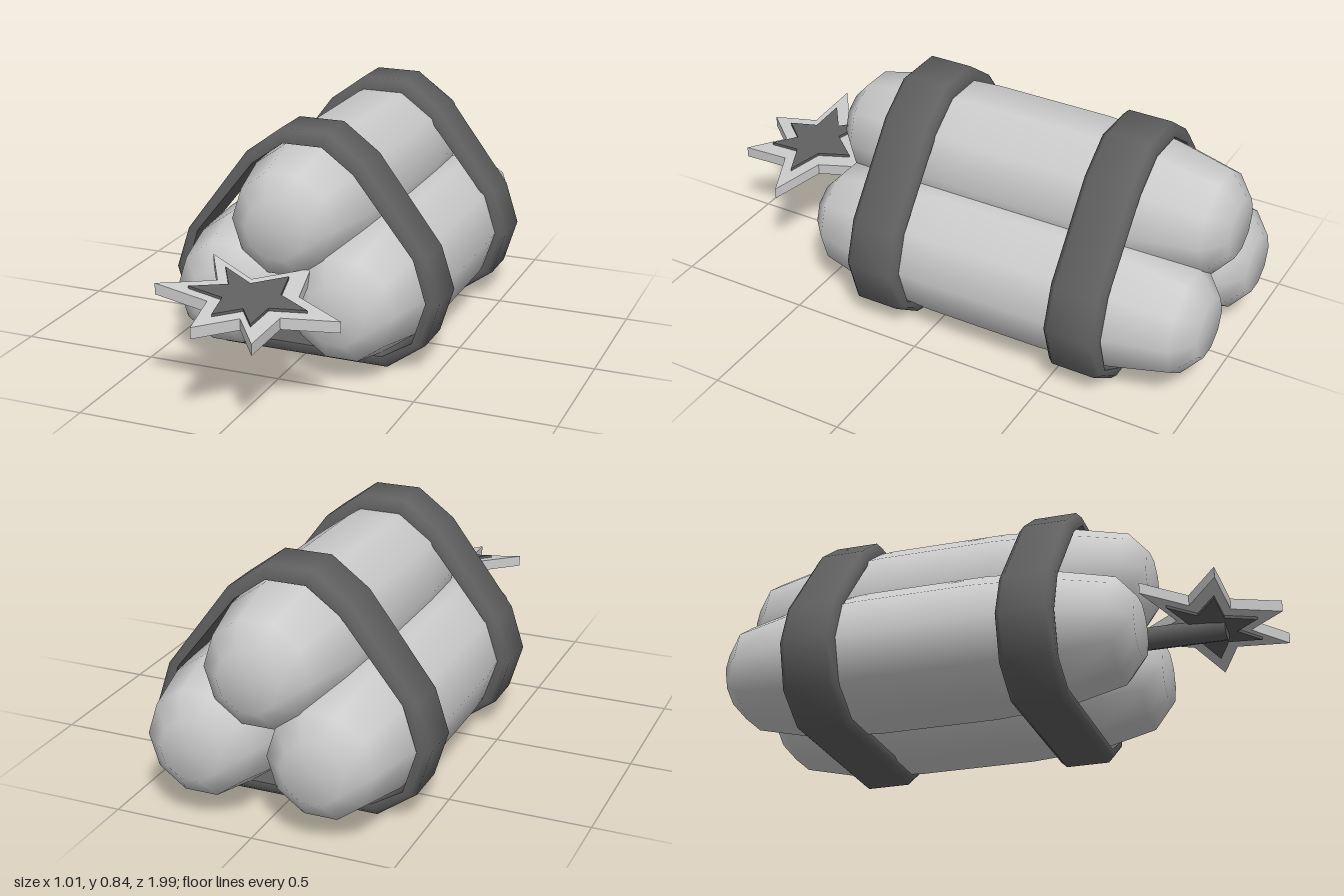
import * as THREE from 'three';
import { toCreasedNormals } from 'three/addons/utils/BufferGeometryUtils.js';

const light = new THREE.MeshStandardMaterial({ color: 0xcccccc });
const dark = new THREE.MeshStandardMaterial({ color: 0x606060 });

function add(group, name, geometry, material) {
  const mesh = new THREE.Mesh(geometry, material);
  mesh.name = name;
  group.add(mesh);
  return mesh;
}

// Ten-sided stick along z, slightly barrel-shaped with tapered ends
function stickGeometry() {
  const half = [[0, 0.76], [0.11, 0.76], [0.19, 0.69], [0.238, 0.48], [0.255, 0.22]];
  const top = half.map(([r, z]) => new THREE.Vector2(r, z));
  const bottom = half.map(([r, z]) => new THREE.Vector2(r, -z));
  const profile = [...bottom, ...top.reverse()];
  return new THREE.LatheGeometry(profile, 10, Math.PI / 2).rotateX(Math.PI / 2);
}

// Band that wraps the three sticks: a chamfered section swept round a mirrored outline
function strapGeometry() {
  const mirror = (pts) => [...pts, ...pts.map(([x, y]) => [-x, y]).reverse()];
  const outer = mirror([[0.085, 0.84], [0.22, 0.74], [0.456, 0.425], [0.506, 0.27], [0.456, 0.105], [0.315, 0.003]]);
  const inner = mirror([[0.073, 0.79], [0.19, 0.705], [0.412, 0.425], [0.46, 0.27], [0.412, 0.115], [0.3, 0.047]]);
  const section = [[0, -0.1], [0.6, -0.1], [1, -0.08], [1, 0.08], [0.6, 0.1], [0, 0.1]];
  const n = outer.length, m = section.length;
  const positions = [], index = [];
  for (let i = 0; i < n; i++) {
    for (let j = 0; j < m; j++) {
      const [t, z] = section[j];
      positions.push(
        THREE.MathUtils.lerp(inner[i][0], outer[i][0], t),
        THREE.MathUtils.lerp(inner[i][1], outer[i][1], t),
        z
      );
      const a = i * m + j, b = i * m + (j + 1) % m;
      const c = ((i + 1) % n) * m + j, d = ((i + 1) % n) * m + (j + 1) % m;
      index.push(a, b, c, b, d, c);
    }
  }
  const g = new THREE.BufferGeometry();
  g.setAttribute('position', new THREE.Float32BufferAttribute(positions, 3));
  g.setIndex(index);
  return toCreasedNormals(g, 1.0);
}

// Uneven six-pointed spark plate, tips and notches alternating as (x, z) from its centre
const SPARK = [
  [-0.23, -0.21], [-0.045, -0.12], [0.1, -0.29], [0.14, -0.095], [0.32, -0.02], [0.14, 0.06],
  [0.125, 0.25], [0.03, 0.13], [-0.085, 0.26], [-0.11, 0.085], [-0.31, 0.07], [-0.14, -0.055],
];
function sparkGeometry(scale, thickness) {
  const shape = new THREE.Shape(SPARK.map(([x, z]) => new THREE.Vector2(x * scale, -z * scale)));
  const g = new THREE.ExtrudeGeometry(shape, { depth: thickness, bevelEnabled: false });
  g.translate(0, 0, -thickness / 2).rotateX(-Math.PI / 2);
  // Tilt down towards the left and the front
  const p = g.attributes.position;
  for (let i = 0; i < p.count; i++) p.setY(i, p.getY(i) - 0.135 * p.getX(i) - 0.11 * p.getZ(i));
  g.computeVertexNormals();
  return g;
}

export function createModel() {
  const model = new THREE.Group();
  model.name = 'stickBundle';

  // Three sticks in a pyramid
  const stick = stickGeometry();
  const places = { topStick: [0, 0.555], leftStick: [0.217, 0.275], rightStick: [-0.217, 0.275] };
  for (const [name, [x, y]] of Object.entries(places)) {
    add(model, name, stick, light).position.set(x, y, -0.24);
  }

  // Two straps
  const strap = strapGeometry();
  add(model, 'frontStrap', strap, dark).position.z = 0.18;
  add(model, 'backStrap', strap, dark).position.z = -0.61;

  // Fuse
  const fuse = new THREE.CylinderGeometry(0.042, 0.042, 0.4, 10).rotateX(Math.PI / 2);
  add(model, 'fuse', fuse, dark).position.set(0, 0.332, 0.58);

  // Spark at the fuse tip
  const spark = new THREE.Group();
  spark.name = 'spark';
  spark.position.set(0, 0.368, 0.73);
  add(spark, 'sparkRim', sparkGeometry(1, 0.04), light);
  add(spark, 'sparkCore', sparkGeometry(0.64, 0.06), dark);
  model.add(spark);

  return model;
}
